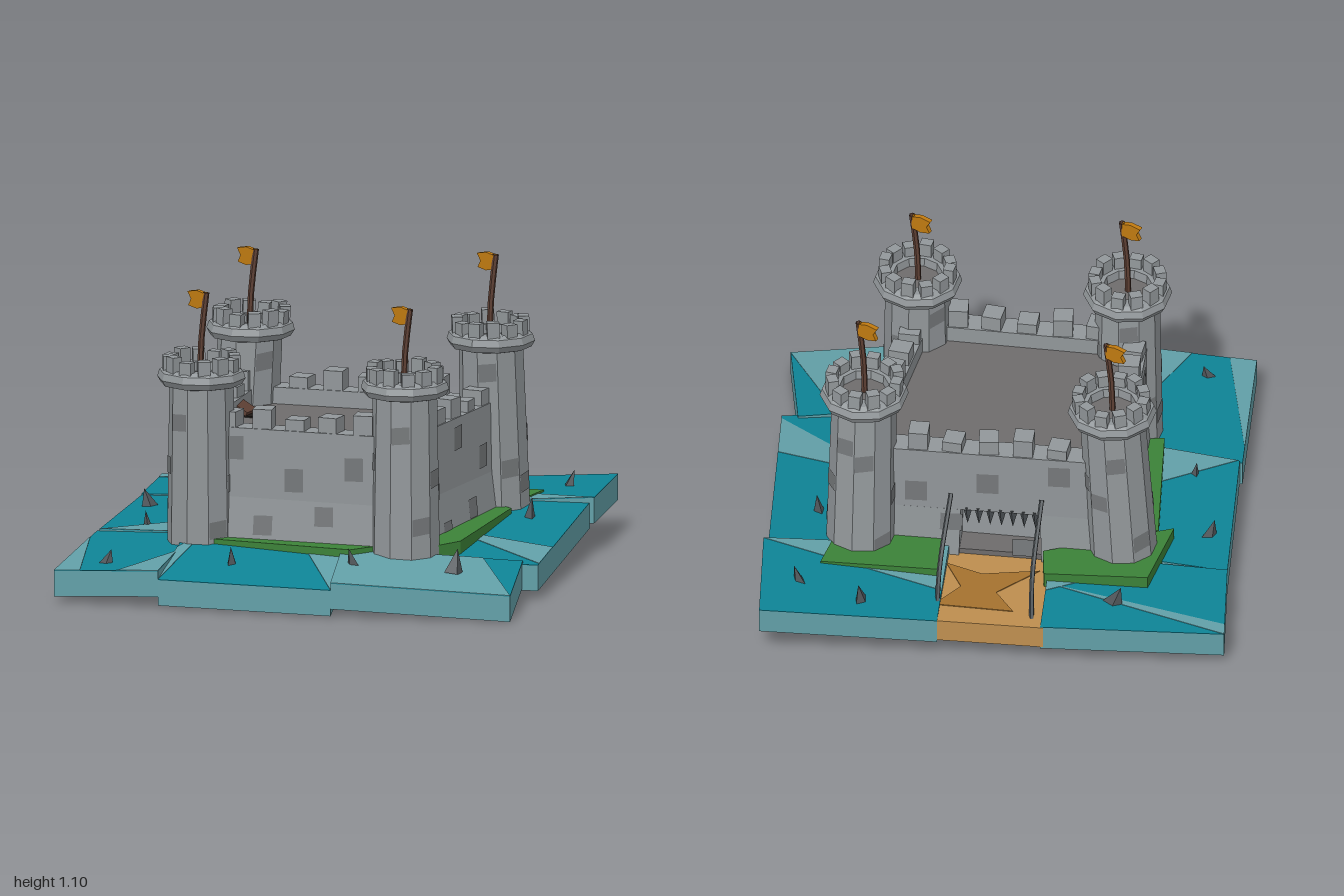
import * as THREE from 'three';

const mats = {};
const mat = (color) => (mats[color] ??= new THREE.MeshStandardMaterial({ color, flatShading: true, side: THREE.DoubleSide }));
const STONE = 0x92979a, DARK = 0x75787a, FLOOR = 0x6e6c6c, WOOD = 0x5e4034, FLAG = 0xc07a10;
const TEAL = 0x0e8496, PALE = 0x62a0a8, GRASS = 0x3c8238, SAND = 0xc09050, SAND_DARK = 0xa87430, IRON = 0x50565a;
const V = (x, y, z) => new THREE.Vector3(x, y, z);

function add(parent, name, geo, color) {
  const m = new THREE.Mesh(geo, mat(color));
  m.name = name;
  parent.add(m);
  return m;
}

// Slab with outline [x, z], top plane y = c + bx + dz, and an optional widened foot
function slab(pts, [c, b, d], t, flare = 1) {
  const shape = new THREE.Shape(pts.map(([x, z]) => new THREE.Vector2(x, -z)));
  const g = new THREE.ExtrudeGeometry(shape, { depth: t, bevelEnabled: false }).rotateX(-Math.PI / 2);
  const p = g.attributes.position;
  for (let i = 0; i < p.count; i++) {
    const x = p.getX(i), z = p.getZ(i), y = p.getY(i);
    const s = y < t / 2 ? flare : 1;
    p.setXYZ(i, x * s, c + b * x + d * z - t + y, z * s);
  }
  g.computeVertexNormals();
  return g;
}

// Water slab; each pale area is listed by positions along the outline (1.5 = middle of edge 1)
function waterSlab(parent, pts, [c, b, d], paleAreas) {
  const along = (t) => {
    const i = Math.floor(t), k = t - i, p = pts[i % 4], q = pts[(i + 1) % 4];
    return [p[0] + (q[0] - p[0]) * k, p[1] + (q[1] - p[1]) * k];
  };
  add(parent, 'waterSlab', slab(pts, [c, b, d], 0.092), PALE);
  add(parent, 'deepWater', slab(pts, [c + 0.002, b, d], 0.002), TEAL);
  for (const area of paleAreas) add(parent, 'paleWater', slab(area.map(along), [c + 0.004, b, d], 0.002), PALE);
}

// Flat darker stone laid on the face a-b (bottom) / e-f (top)
function facePatch(a, b, e, f, u, v, w, h) {
  const n = b.clone().sub(a).cross(e.clone().sub(a)).normalize().multiplyScalar(0.003);
  const at = (s, t) => a.clone().lerp(b, s).lerp(e.clone().lerp(f, s), t).add(n);
  const q = [at(u, v), at(u + w, v + 0.01), at(u + w, v + h), at(u, v + h - 0.01)];
  const g = new THREE.BufferGeometry().setFromPoints([q[0], q[1], q[2], q[0], q[2], q[3]]);
  g.computeVertexNormals();
  return g;
}

// Round tower, leaning because its foot is moved by (dx, dz)
function tower(parent, index, x, z, y, dx, dz, tip) {
  const g = new THREE.Group();
  g.name = 'tower' + (index + 1);
  g.position.set(x, 0, z);
  parent.add(g);
  const lean = (geo) => {
    const p = geo.attributes.position;
    for (let i = 0; i < p.count; i++) {
      const k = 1 - p.getY(i) / 0.8;
      p.setX(i, p.getX(i) + dx * k);
      p.setZ(i, p.getZ(i) + dz * k);
    }
    geo.computeVertexNormals();
    return geo;
  };
  const N = 10, y0 = 0.12, h = y + 0.01 - y0;
  add(g, 'towerBody', lean(new THREE.CylinderGeometry(0.115, 0.125, h, N).translate(0, y0 + h / 2, 0)), STONE);
  const rim = [[0.112, 0], [0.145, 0.008], [0.158, 0.03], [0.15, 0.055], [0.132, 0.066], [0.088, 0.066], [0.085, 0.03]];
  add(g, 'towerRim', lean(new THREE.LatheGeometry(rim.map(([r, k]) => new THREE.Vector2(r, y + k)), N)), STONE);
  add(g, 'towerFloor', lean(new THREE.CylinderGeometry(0.09, 0.09, 0.01, N).translate(0, y + 0.028, 0)), FLOOR);
  for (let i = 0; i < 12; i++) {
    const tall = 0.055 + 0.006 * ((i * 7 + index) % 3);
    const box = new THREE.BoxGeometry(0.044, tall, 0.038).translate(0, y + 0.05 + tall / 2, 0.118);
    add(g, 'towerMerlon', lean(box.rotateY((i / 12) * Math.PI * 2)), STONE);
  }
  const pt = (j, r, py) => V(Math.sin((j / N) * Math.PI * 2) * r, py, Math.cos((j / N) * Math.PI * 2) * r);
  for (let i = 0; i < 9; i++) {
    const k = (i * 3 + index) % N, v = 0.1 + ((i * 5 + index * 2) % 9) * 0.09;
    const face = [pt(k, 0.125, y0), pt(k + 1, 0.125, y0), pt(k, 0.115, y0 + h), pt(k + 1, 0.115, y0 + h)];
    add(g, 'towerStone', lean(facePatch(...face, 0.04, v, 0.9, 0.11)), DARK);
  }
  // Pole and swallow-tailed flag
  const path = new THREE.CatmullRomCurve3([V(0, y, 0.01), V(0.006, (y + tip) / 2, 0.012), V(0.022, tip, 0.005)]);
  add(g, 'flagPole', new THREE.TubeGeometry(path, 4, 0.011, 6), WOOD);
  const cloth = new THREE.Shape([[0, 0], [-0.035, 0.008], [-0.075, 0], [-0.06, -0.026], [-0.072, -0.05], [-0.035, -0.058], [0, -0.05]]
    .map(([a, b]) => new THREE.Vector2(a, b)));
  const flag = add(g, 'flag', new THREE.ExtrudeGeometry(cloth, { depth: 0.018, bevelEnabled: false }), FLAG);
  flag.position.set(0.022, tip - 0.003, -0.004);
  flag.rotation.y = -0.2;
}

export function createModel() {
  const root = new THREE.Group();
  root.name = 'castle';

  // Tilted water slabs around the castle
  waterSlab(root, [[-0.97, -0.6], [-0.34, -0.77], [-0.26, -0.35], [-0.88, -0.24]], [0.18, 0.04, 0], [[3.85, 0, 1.6], [1.5, 2, 2.6]]);
  waterSlab(root, [[0.02, -0.84], [0.63, -1], [0.73, -0.59], [0.1, -0.4]], [0.157, 0.06, -0.015], [[2, 3, 3.6]]);
  waterSlab(root, [[0.4, -0.5], [0.71, -0.6], [0.89, 0.21], [0.44, 0.37]], [0.171, -0.03, -0.067], [[1.72, 1.98, 3.5]]);
  waterSlab(root, [[0.22, 0.42], [0.83, 0.21], [0.97, 0.61], [0.36, 0.81]], [0.217, -0.0735, -0.075], [[0, 0.78, 2, 3]]);
  waterSlab(root, [[-0.38, 0.45], [0.22, 0.35], [0.36, 0.81], [-0.26, 0.93]], [0.222, -0.035, -0.13], [[0.7, 1, 2], [3, 3.7, 0.1]]);
  waterSlab(root, [[-0.76, 0.38], [-0.4, 0.32], [-0.26, 0.93], [-0.64, 0.99]], [0.192, 0.05, -0.04], [[2.75, 3, 3.85], [1.5, 2, 2.4]]);
  waterSlab(root, [[-0.88, -0.24], [-0.5, -0.28], [-0.4, 0.36], [-0.75, 0.38]], [0.18, 0.045, 0], [[1.6, 2, 2.98]]);

  // Sand-coloured drawbridge with a darker stain
  add(root, 'drawbridge', slab([[-0.35, -0.77], [0.03, -0.84], [0.12, -0.3], [-0.24, -0.25]], [0.105, 0, -0.08], 0.085), SAND);
  const stain = [[-0.22, -0.7], [0.06, -0.74], [0, -0.6], [0.09, -0.47], [-0.05, -0.5], [-0.24, -0.42], [-0.13, -0.6]];
  add(root, 'drawbridgeStain', slab(stain, [0.108, 0, -0.08], 0.004), SAND_DARK);

  // Ground under the castle
  add(root, 'foundation', slab([[-0.5, -0.3], [0.43, -0.45], [0.46, 0.36], [-0.38, 0.46]], [0.145, 0, -0.03], 0.08), FLOOR);

  // Grass banks
  const banks = [
    [[-0.64, -0.43], [-0.28, -0.51], [-0.24, -0.38], [-0.65, -0.12]],
    [[-0.6, -0.15], [-0.45, -0.15], [-0.36, 0.35], [-0.47, 0.39]],
    [[-0.32, 0.52], [-0.3, 0.4], [0.4, 0.3], [0.28, 0.48]],
    [[0.4, -0.4], [0.52, -0.35], [0.58, 0.2], [0.5, 0.37]],
    [[0.09, -0.59], [0.5, -0.66], [0.49, -0.4], [0.12, -0.4]],
  ];
  for (const b of banks) add(root, 'grassBank', slab(b, [0.193, 0, -0.02], 0.06), GRASS);

  // Keep: lower storey with the gate recess, upper storey above it
  const corners = [[-0.52, -0.3], [0.45, -0.45], [0.46, 0.37], [-0.39, 0.48]];
  const recess = [[-0.22, -0.346], [-0.2, -0.24], [0.08, -0.28], [0.06, -0.39]];
  add(root, 'lowerKeep', slab([corners[0], ...recess, ...corners.slice(1)], [0.33, 0, 0], 0.2, 1.04), STONE);
  add(root, 'upperKeep', slab(corners, [0.5, 0, 0], 0.17), STONE);
  add(root, 'courtyard', slab(corners.map(([x, z]) => [x * 0.95, z * 0.95]), [0.52, 0, 0], 0.03), FLOOR);

  // Parapets, merlons and odd stones on each wall
  corners.forEach(([x0, z0], i) => {
    const [x1, z1] = corners[(i + 1) % 4];
    const wall = new THREE.Group();
    wall.name = 'wall' + (i + 1);
    wall.position.set((x0 + x1) / 2, 0, (z0 + z1) / 2);
    wall.rotation.y = -Math.atan2(z1 - z0, x1 - x0);
    root.add(wall);
    const len = Math.hypot(x1 - x0, z1 - z0);
    add(wall, 'parapet', new THREE.BoxGeometry(len - 0.06, 0.1, 0.085), STONE).position.set(0, 0.53, 0.042);
    for (let k = 0; k < 5; k++) {
      const h = 0.05 + 0.015 * ((k * 2 + i) % 3);
      const m = add(wall, 'merlon', new THREE.BoxGeometry(0.07, h, 0.075), STONE);
      m.position.set((k - 2) * 0.125, 0.57 + h / 2, 0.042);
      m.rotation.y = ((k + i) % 3 - 1) * 0.1;
    }
    const edge = (y, s) => [V(x1 * s, y, z1 * s), V(x0 * s, y, z0 * s)];
    for (let k = 0; k < 5; k++) {
      const face = k % 2 ? [...edge(0.13, 1.04), ...edge(0.33, 1)] : [...edge(0.33, 1), ...edge(0.57, 1)];
      add(root, 'wallStone', facePatch(...face, 0.2 + k * 0.13, 0.12 + ((k * 2 + i) % 3) * 0.22, 0.08, 0.36), DARK);
    }
  });

  // Portcullis spikes and drawbridge chains
  for (let i = 0; i < 7; i++) {
    const s = add(root, 'portcullisSpike', new THREE.ConeGeometry(0.02, 0.08, 4), IRON);
    s.position.set(-0.2 + i * 0.04, 0.3, -0.335 - i * 0.006);
    s.rotation.x = Math.PI;
  }
  for (const [x0, z0, x1, z1] of [[-0.3, -0.74, -0.23, -0.36], [0.04, -0.77, 0.09, -0.41]]) {
    const sag = V((x0 + x1) / 2 + 0.015, 0.225, (z0 + z1) / 2);
    const chain = new THREE.CatmullRomCurve3([V(x0, 0.15, z0), sag, V(x1, 0.41, z1)]);
    add(root, 'chain', new THREE.TubeGeometry(chain, 8, 0.009, 5), IRON);
  }

  // Trapdoor in the courtyard
  add(root, 'hatchOpening', new THREE.BoxGeometry(0.08, 0.006, 0.08), 0x1c1714).position.set(-0.33, 0.522, -0.02);
  const lid = add(root, 'hatchLid', new THREE.BoxGeometry(0.08, 0.015, 0.08), WOOD);
  lid.position.set(-0.38, 0.55, -0.02);
  lid.rotation.z = -0.5;

  // Corner towers: x, z, rim height, foot shift, flag tip
  tower(root, 0, -0.46, -0.26, 0.75, -0.05, 0, 1.07);
  tower(root, 1, 0.41, -0.41, 0.76, 0, -0.05, 1.1);
  tower(root, 2, 0.42, 0.32, 0.722, 0, 0, 1.04);
  tower(root, 3, -0.315, 0.455, 0.722, -0.01, -0.03, 1.06);

  // Sharp rocks in the water
  const rocks = [[-0.56, -0.55], [0.31, -0.82], [0.55, -0.78], [-0.77, -0.06], [-0.62, 0.26],
    [-0.5, 0.84], [-0.09, 0.68], [0.33, 0.57], [0.69, 0.47], [0.6, -0.34]];
  rocks.forEach(([x, z], i) => {
    const r = add(root, 'rock', new THREE.ConeGeometry(0.04, 0.09, 4), IRON);
    r.scale.z = 0.6;
    r.position.set(x, 0.18 + 0.02 * x - 0.035 * z, z);
    r.rotation.set(0.25 * Math.sin(i * 2), i * 1.3, 0.35 * Math.cos(i * 3));
  });
  return root;
}
